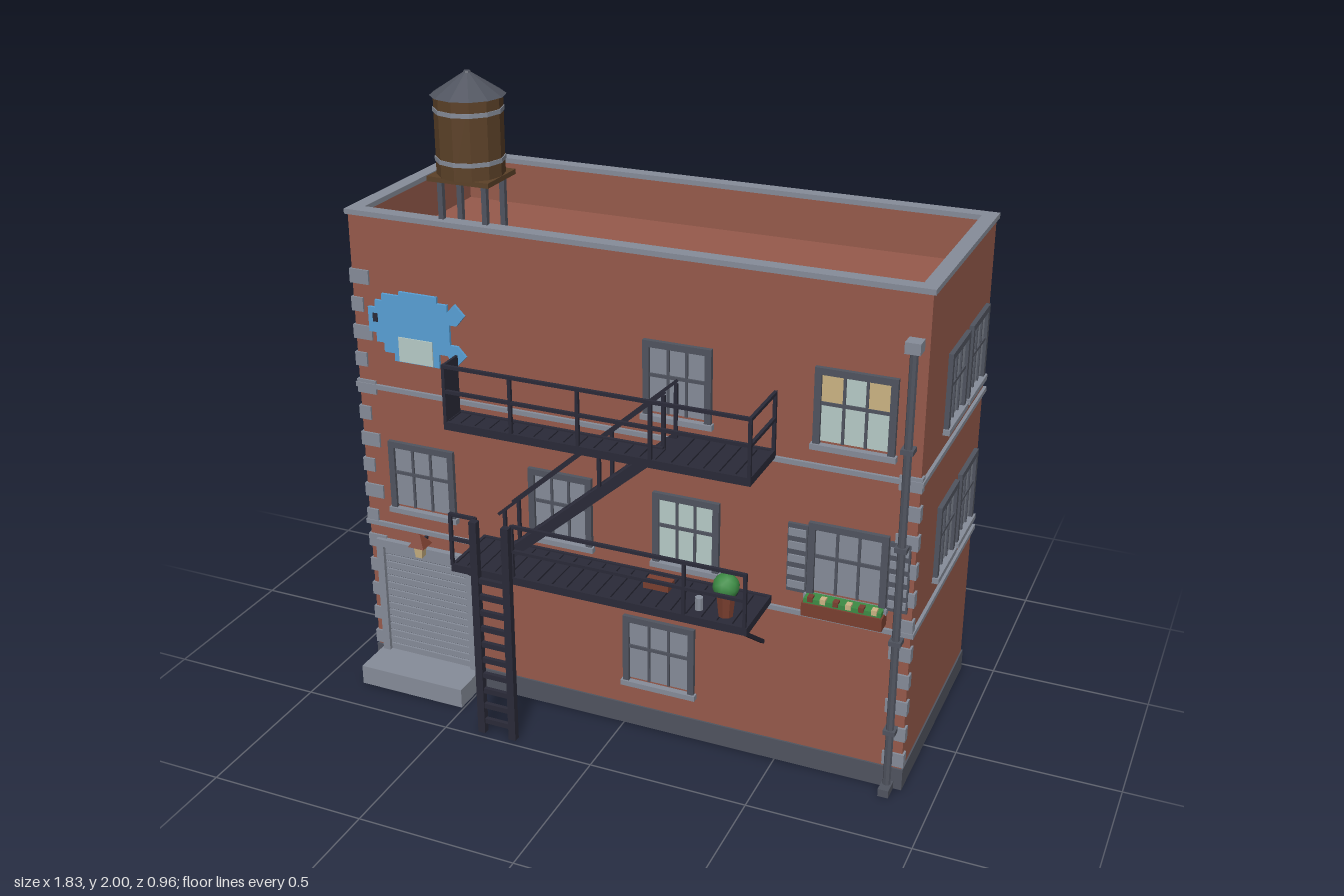
import * as THREE from 'three';

const mat = (name, color) => Object.assign(new THREE.MeshStandardMaterial({ color }), { name });
const brick = mat('brick', 0x965a4b), stone = mat('pale grey', 0x868c99), slate = mat('dark grey', 0x50545f),
  iron = mat('black iron', 0x2a2a38), wood = mat('brown wood', 0x5c4128), blue = mat('blue paint', 0x58a0d6),
  cream = mat('cream', 0xccb483), mint = mat('pale glass', 0xb6cbc7), green = mat('leaf green', 0x3d8c45),
  rust = mat('rust red', 0x7a3f30);

const FRONT = 0.245, BACK = -0.47, SIDE = 0.893;

function add(parent, name, geo, m) {
  const mesh = new THREE.Mesh(geo, m);
  mesh.name = name;
  parent.add(mesh);
  return mesh;
}
function group(parent, name) {
  const g = new THREE.Group();
  g.name = name;
  parent.add(g);
  return g;
}
// Box given by its limits on each axis
function box(parent, name, m, x0, x1, y0, y1, z0, z1) {
  const b = add(parent, name, new THREE.BoxGeometry(x1 - x0, y1 - y0, z1 - z0), m);
  b.position.set((x0 + x1) / 2, (y0 + y1) / 2, (z0 + z1) / 2);
  return b;
}
// Square bar between two points
function bar(parent, name, a, b, w = 0.01, h = w, m = iron) {
  const p = new THREE.Vector3(...a), q = new THREE.Vector3(...b);
  const mesh = add(parent, name, new THREE.BoxGeometry(w, h, p.distanceTo(q)), m);
  mesh.position.copy(p).add(q).multiplyScalar(0.5);
  mesh.lookAt(q);
  return mesh;
}
// Faceted cylinder or cone
function drum(parent, name, m, rTop, rBottom, x, y0, y1, z, sides = 12) {
  const g = new THREE.CylinderGeometry(rTop, rBottom, y1 - y0, sides).toNonIndexed();
  g.computeVertexNormals();
  const mesh = add(parent, name, g, m);
  mesh.position.set(x, (y0 + y1) / 2, z);
  return mesh;
}
// Rectangular ring around the building
function band(parent, name, m, y0, y1, out, depth) {
  const x = SIDE + out, f = FRONT + out, b = BACK - out;
  box(parent, name, m, -x, x, y0, y1, f - depth, f);
  box(parent, name, m, -x, x, y0, y1, b, b + depth);
  for (const s of [[-x, -x + depth], [x - depth, x]]) box(parent, name, m, s[0], s[1], y0, y1, b + depth, f - depth);
}

// Sash window facing +z, with its foot at the origin
function sashWindow(parent, name, w, h, pane = stone, curtains = false) {
  const g = group(parent, name), r = w / 2, t = 0.02;
  box(g, 'pane', pane, -r + t, r - t, t, h - t, 0, 0.004);
  for (const s of [-1, 1]) {
    const x = s * (r - t / 2);
    box(g, 'frameSide', slate, x - t / 2, x + t / 2, 0, h, 0, 0.014);
    const c = s * (w - 2 * t) / 6;
    box(g, 'glazingBar', slate, c - 0.004, c + 0.004, t, h - t, 0, 0.009);
    if (curtains) {
      const e = s * (w - 2 * t) / 3;
      box(g, 'curtain', cream, e - 0.033, e + 0.033, h * 0.56, h - t, 0.003, 0.006);
    }
  }
  box(g, 'frameTop', slate, -r + t, r - t, h - t, h, 0, 0.014);
  box(g, 'glazingBar', slate, -r + t, r - t, h * 0.54, h * 0.54 + 0.01, 0, 0.01);
  box(g, 'sill', stone, -r - 0.006, r + 0.006, -0.005, 0.012, 0, 0.02);
  return g;
}

function buildShell(root) {
  const g = group(root, 'building');
  box(g, 'walls', brick, -SIDE, SIDE, 0.07, 1.42, BACK, FRONT);
  band(g, 'parapet', brick, 1.42, 1.556, 0, 0.032);
  band(g, 'coping', stone, 1.554, 1.57, 0.008, 0.045);
  box(g, 'plinth', slate, -SIDE - 0.005, SIDE + 0.005, 0, 0.07, BACK - 0.005, FRONT + 0.006);
  for (const y of [0.52, 0.998]) band(g, 'stringCourse', stone, y, y + 0.015, 0.01, 0.02);
  // Corner stones, alternately long and short
  for (const s of [-1, 1])
    for (let i = 0; i < (s < 0 ? 15 : 11); i++) {
      const y = 0.078 + i * 0.09, w = i % 2 ? 0.035 : 0.06, a = s * (SIDE + 0.006), b = s * (SIDE - w);
      box(g, 'cornerStone', stone, Math.min(a, b), Math.max(a, b), y, y + 0.045, FRONT - 0.02, FRONT + 0.007);
    }
}

function buildWindows(root) {
  const g = group(root, 'windows');
  const front = [[-0.685, 0.59, 0.23, 0.24], [-0.205, 0.59, 0.21, 0.24], [0.205, 0.59, 0.21, 0.24, mint],
    [0.7, 0.59, 0.235, 0.24], [0.175, 1.065, 0.21, 0.24], [0.7, 1.065, 0.235, 0.24, mint, true], [0.118, 0.15, 0.235, 0.24]];
  for (const [x, y, w, h, pane, curtains] of front)
    sashWindow(g, 'frontWindow', w, h, pane, curtains).position.set(x, y, FRONT);
  for (const s of [-1, 1])
    for (const y of [0.588, 1.065])
      for (const z of [-0.08, -0.318]) {
        const win = sashWindow(g, 'sideWindow', 0.205, 0.24);
        win.position.set(s * SIDE, y, z);
        win.rotation.y = s * Math.PI / 2;
      }
  for (const x of [-0.54, -0.005, 0.53])
    for (const y of [0.17, 0.615, 1.095]) {
      box(g, 'backWindow', stone, x - 0.09, x + 0.09, y, y + 0.18, BACK - 0.006, BACK);
      box(g, 'backSill', slate, x - 0.1, x + 0.1, y - 0.008, y + 0.006, BACK - 0.014, BACK);
    }
  // Louvred shutters
  for (const s of [-1, 1]) {
    const x = 0.7 + s * 0.15;
    box(g, 'shutter', slate, x - 0.03, x + 0.03, 0.597, 0.815, FRONT, FRONT + 0.01);
    for (let i = 0; i < 5; i++)
      box(g, 'shutterSlat', stone, x - 0.026, x + 0.026, 0.61 + i * 0.042, 0.633 + i * 0.042, FRONT, FRONT + 0.015);
  }
  // Flower box
  box(g, 'flowerBox', rust, 0.58, 0.82, 0.547, 0.588, FRONT, 0.295);
  box(g, 'flowerLeaves', green, 0.585, 0.815, 0.588, 0.603, FRONT + 0.005, 0.29);
  for (let i = 0; i < 6; i++) {
    const x = 0.605 + i * 0.038;
    box(g, 'flower', i % 2 ? cream : rust, x - 0.008, x + 0.008, 0.594, 0.61, 0.272, 0.293);
  }
}

function buildEntrance(root) {
  const g = group(root, 'garageEntrance');
  box(g, 'step', stone, -0.873, -0.507, 0, 0.065, FRONT, 0.385);
  for (const x of [-0.865, -0.54]) box(g, 'doorJamb', stone, x, x + 0.025, 0.065, 0.475, FRONT, FRONT + 0.02);
  box(g, 'doorLintel', stone, -0.84, -0.54, 0.45, 0.475, FRONT, FRONT + 0.02);
  box(g, 'doorBacking', slate, -0.84, -0.54, 0.065, 0.45, FRONT, FRONT + 0.004);
  for (let i = 0; i < 15; i++)
    box(g, 'doorSlat', stone, -0.838, -0.542, 0.068 + i * 0.0255, 0.088 + i * 0.0255, FRONT, FRONT + 0.011);
  // Wall lamp
  box(g, 'lampArm', iron, -0.69, -0.68, 0.505, 0.515, FRONT, 0.29);
  drum(g, 'lampGlass', cream, 0.022, 0.016, -0.685, 0.462, 0.505, 0.29, 4).rotation.y = Math.PI / 4;
  drum(g, 'lampHood', rust, 0.004, 0.04, -0.685, 0.503, 0.54, 0.29, 4).rotation.y = Math.PI / 4;
}

// Painted fish sign with a small plaque
function buildSign(root) {
  const g = group(root, 'fishSign');
  const pts = [[-0.84, 1.19], [-0.84, 1.27], [-0.815, 1.27], [-0.815, 1.295], [-0.79, 1.295], [-0.79, 1.318], [-0.73, 1.318],
    [-0.73, 1.332], [-0.6, 1.332], [-0.6, 1.312], [-0.565, 1.312], [-0.565, 1.29], [-0.54, 1.318], [-0.507, 1.285], [-0.535, 1.25],
    [-0.56, 1.25], [-0.56, 1.185], [-0.535, 1.185], [-0.507, 1.155], [-0.545, 1.115], [-0.57, 1.15], [-0.6, 1.15], [-0.6, 1.105],
    [-0.755, 1.105], [-0.755, 1.13], [-0.79, 1.13], [-0.79, 1.16], [-0.815, 1.16], [-0.815, 1.19]];
  const shape = new THREE.Shape(pts.map(p => new THREE.Vector2(...p)));
  add(g, 'fish', new THREE.ExtrudeGeometry(shape, { depth: 0.009, bevelEnabled: false }), blue).position.z = FRONT;
  box(g, 'plaque', mint, -0.737, -0.62, 1.108, 1.187, FRONT + 0.008, FRONT + 0.013);
  box(g, 'eye', iron, -0.823, -0.807, 1.225, 1.252, FRONT + 0.008, FRONT + 0.012);
}

function buildFireEscape(root) {
  const g = group(root, 'fireEscape'), L = -0.475, R = 0.475, Z0 = 0.25, Z1 = 0.455, gap = 0.36, stairEnd = 0.18;
  // Slatted decks; the upper one is cut away over the stair
  const deck = (y, cut) => {
    box(g, 'deckEdge', iron, L, R, y, y + 0.025, Z1 - 0.01, Z1);
    box(g, 'deckEdge', iron, cut ? stairEnd : L, R, y, y + 0.025, Z0, Z0 + 0.01);
    box(g, 'deckEdge', iron, R - 0.01, R, y, y + 0.025, Z0, Z1);
    box(g, 'deckEdge', iron, L, L + 0.01, y, y + 0.025, cut ? gap : Z0, Z1);
    if (cut) box(g, 'deckEdge', iron, L, stairEnd, y, y + 0.025, gap, gap + 0.01);
    for (let i = 0; i < 20; i++) {
      const x = L + 0.0475 * i;
      box(g, 'deckSlat', iron, x, x + 0.043, y + 0.012, y + 0.02, cut && x < stairEnd - 0.02 ? gap : Z0, Z1);
    }
  };
  deck(1.01, true);
  deck(0.54, false);
  const post = (x, y0, y1, z = Z1 - 0.005) => bar(g, 'railPost', [x, y0, z], [x, y1, z]);
  const rail = (a, b, y) => bar(g, 'rail', [a, y, Z1 - 0.005], [b, y, Z1 - 0.005]);
  // Upper railing with one open end and one sheeted end
  for (const x of [-0.47, -0.257, -0.045, 0.177, 0.47]) post(x, 1.03, 1.21);
  post(0.47, 1.03, 1.21, Z0 + 0.005);
  for (const y of [1.13, 1.208]) {
    rail(L, R, y);
    bar(g, 'endRail', [0.47, y, Z0], [0.47, y, Z1]);
  }
  box(g, 'endSheet', iron, L, L + 0.008, 1.01, 1.212, 0.37, Z1);
  // Lower railing, open at the ladder
  for (const x of [-0.473, -0.39, -0.268, 0.28, 0.466]) post(x, 0.56, 0.735);
  for (const y of [0.65, 0.732]) {
    rail(-0.475, -0.39, y);
    rail(-0.268, 0.47, y);
  }
  // Braces back to the wall
  for (const x of [-0.455, 0.45]) bar(g, 'brace', [x, 0.545, 0.445], [x, 0.4, FRONT], 0.012);
  // Stair between the decks
  for (const z of [0.265, 0.355]) {
    bar(g, 'stairString', [-0.35, 0.56, z], [0.18, 1.025, z], 0.01, 0.03);
    bar(g, 'handrail', [-0.36, 0.71, z], [0.18, 1.2, z], 0.009);
    for (const [x, y] of [[0.177, 1.02], [-0.025, 0.845], [-0.34, 0.56]]) post(x, y, y + 0.17, z);
  }
  for (let i = 0; i < 13; i++) {
    const x = -0.335 + i * 0.042, y = 0.575 + i * 0.0368;
    box(g, 'stairTread', iron, x - 0.02, x + 0.02, y - 0.004, y + 0.004, 0.268, 0.352);
  }
  // Ladder to the ground
  for (const x of [-0.383, -0.277]) box(g, 'ladderRail', iron, x - 0.012, x + 0.012, 0, 0.735, 0.458, 0.48);
  for (let i = 0; i < 10; i++) box(g, 'ladderRung', iron, -0.375, -0.285, 0.035 + i * 0.055, 0.052 + i * 0.055, 0.463, 0.476);
  // Pots and a can on the lower deck
  drum(g, 'plantPot', rust, 0.03, 0.022, 0.39, 0.56, 0.635, 0.4, 8);
  add(g, 'plant', new THREE.IcosahedronGeometry(0.04, 1), green).position.set(0.39, 0.655, 0.4);
  drum(g, 'can', stone, 0.012, 0.012, 0.308, 0.56, 0.6, 0.4, 8);
  box(g, 'tray', rust, 0.11, 0.19, 0.56, 0.58, 0.3, 0.35);
}

function buildDrainpipe(root) {
  const g = group(root, 'drainpipe'), x = 0.857, z = 0.268;
  drum(g, 'pipe', slate, 0.012, 0.012, x, 0.02, 1.4, z, 8);
  box(g, 'hopper', stone, x - 0.022, x + 0.022, 1.395, 1.428, FRONT, 0.29);
  for (const y of [0.2, 0.5, 0.8, 1.1]) box(g, 'pipeClip', slate, x - 0.018, x + 0.018, y, y + 0.015, FRONT, 0.283);
  box(g, 'pipeFoot', slate, x - 0.016, x + 0.016, 0, 0.025, FRONT, 0.305);
}

function buildWaterTank(root) {
  const g = group(root, 'waterTank'), x = -0.51, z = 0.167;
  for (const a of [-0.072, 0.072])
    for (const b of [-0.055, 0.055])
      box(g, 'tankLeg', slate, x + a - 0.008, x + a + 0.008, 1.42, 1.69, z + b - 0.008, z + b + 0.008);
  box(g, 'tankPlatform', wood, x - 0.1, x + 0.1, 1.687, 1.702, z - 0.085, z + 0.085);
  drum(g, 'barrel', wood, 0.1, 0.1, x, 1.7, 1.935, z);
  for (const y of [1.742, 1.885]) drum(g, 'hoop', stone, 0.103, 0.103, x, y, y + 0.013, z);
  drum(g, 'tankRoof', slate, 0.012, 0.11, x, 1.932, 1.995, z);
  drum(g, 'roofCap', slate, 0.01, 0.014, x, 1.99, 2, z, 8);
}

export function createModel() {
  const root = new THREE.Group();
  root.name = 'brickApartmentBlock';
  for (const build of [buildShell, buildWindows, buildEntrance, buildSign, buildFireEscape, buildDrainpipe, buildWaterTank]) build(root);
  return root;
}
